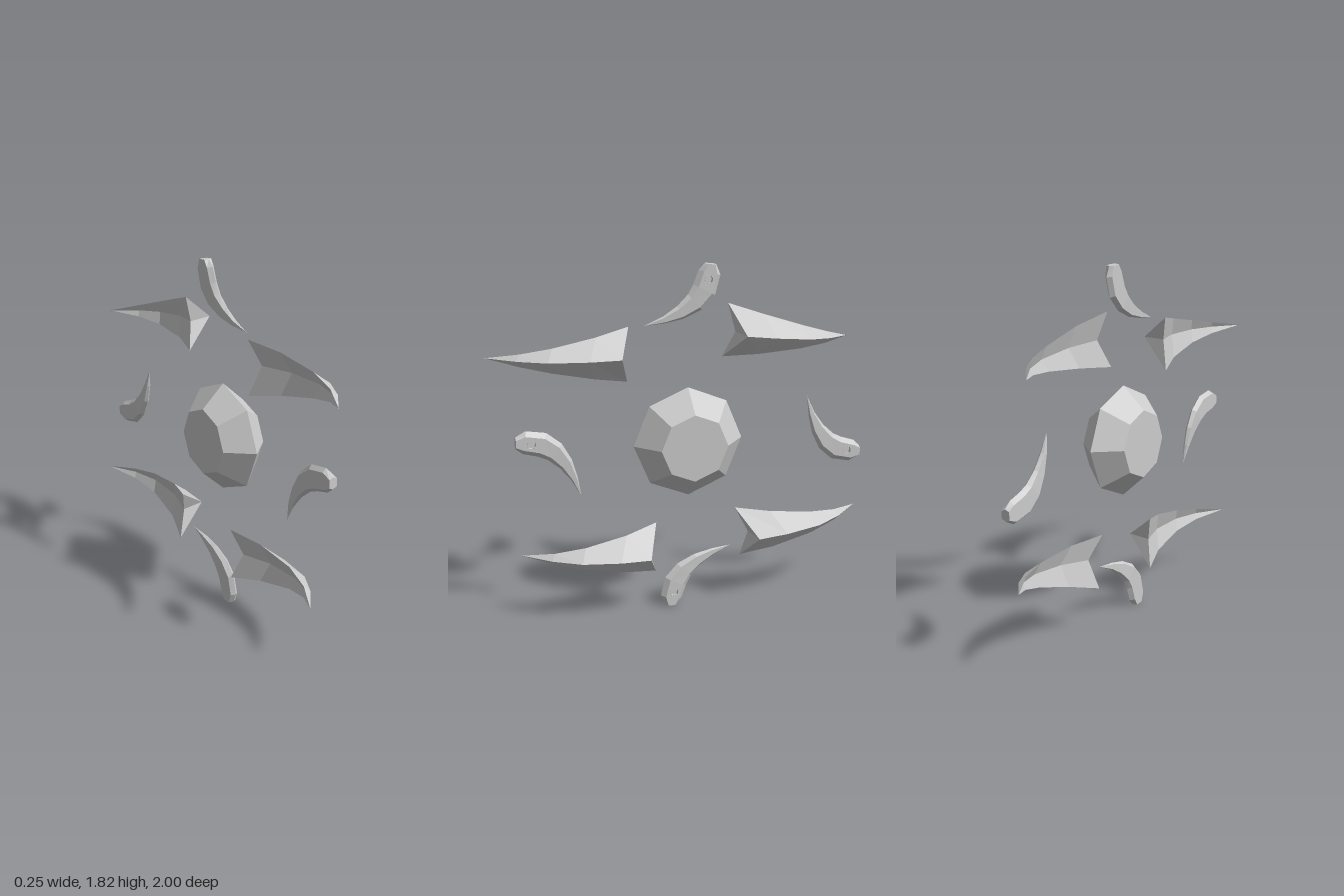
import * as THREE from 'three';

const material = new THREE.MeshStandardMaterial({ color: 0xcccccc, flatShading: true });
const openMaterial = material.clone();
openMaterial.side = THREE.DoubleSide;

// Skin a list of rings (counterclockwise about the direction of travel).
// The start is capped by a fan from ring point `fan`; skip(s, i) leaves a quad open.
function loft(rings, fan = 0, skip = () => false) {
  const pos = [];
  const tri = (a, b, c) => {
    const area = b.clone().sub(a).cross(c.clone().sub(a)).length();
    if (area > 1e-9) pos.push(...a.toArray(), ...b.toArray(), ...c.toArray());
  };
  const n = rings[0].length;
  for (let s = 0; s < rings.length - 1; s++) {
    for (let i = 0; i < n; i++) {
      if (skip(s, i)) continue;
      const j = (i + 1) % n;
      const [a, b] = [rings[s], rings[s + 1]];
      tri(a[i], a[j], b[j]);
      tri(a[i], b[j], b[i]);
    }
  }
  for (let k = 1; k < n - 1; k++) {
    tri(rings[0][fan], rings[0][(fan + k + 1) % n], rings[0][(fan + k) % n]);
  }
  const g = new THREE.BufferGeometry();
  g.setAttribute('position', new THREE.Float32BufferAttribute(pos, 3));
  g.computeVertexNormals();
  return g;
}

function addMesh(parent, name, geometry, mat = material) {
  const mesh = new THREE.Mesh(geometry, mat);
  mesh.name = name;
  parent.add(mesh);
  return mesh;
}

// Curved barbed spike: [u, v] of the tip, upper barb, ridge end and lower barb
function spikeGeometry({ tip, up, ridge, low }) {
  const stations = [0, 0.25, 0.56, 0.78, 1];
  const ridgeDepth = [0.112, 0.112, 0.08, 0.005, -0.11];
  const barbDepth = [-0.065, -0.005, 0.01, -0.025, -0.11];
  const back = Math.sign(ridge[0] - tip[0]);
  const hollow = [ridge[0] + back * 0.02, ridge[1]];
  const rings = stations.map((t, k) => {
    const at = (p, d) => new THREE.Vector3(
      THREE.MathUtils.lerp(p[0], tip[0], t), THREE.MathUtils.lerp(p[1], tip[1], t), d);
    const ring = [
      at(up, barbDepth[k]),
      at(ridge, ridgeDepth[k]),
      at(low, barbDepth[k]),
      at(hollow, barbDepth[k] + 0.045 * (1 - t)),
    ];
    return back > 0 ? ring.reverse() : ring;
  });
  return loft(rings, back > 0 ? 2 : 1);
}

// Claw with a pierced head at the local origin, tapering along a curve
function makeClaw() {
  const claw = new THREE.Group();
  const top = 0.003;
  const holeRadius = 0.022;
  // u, v, half width, depth of the flat top
  const path = [
    [0.016, 0.075, 0.03, top],
    [0.011, 0.032, 0.059, top],
    [-0.016, -0.053, 0.064, top],
    [-0.064, -0.112, 0.054, 0],
    [-0.139, -0.16, 0.037, -0.004],
    [-0.225, -0.193, 0.018, -0.01],
    [-0.326, -0.217, 0, -0.02],
  ];
  const rings = path.map(([u, v, w, d], k) => {
    const prev = path[Math.max(k - 1, 0)];
    const next = path[Math.min(k + 1, path.length - 1)];
    const dir = new THREE.Vector2(next[0] - prev[0], next[1] - prev[1]).normalize();
    const at = (side, depth) =>
      new THREE.Vector3(u - dir.y * w * side, v + dir.x * w * side, depth);
    const under = w > 0 ? -0.042 + (k > 3 ? 0.005 * (k - 3) : 0) : -0.02;
    return [at(1, -0.02), at(0.6, d), at(-0.6, d), at(-1, -0.02), at(-0.7, under), at(0.7, under)];
  });
  addMesh(claw, 'clawBody', loft(rings, 0, (s, i) => s < 2 && i === 1));

  // Flat head face with the eyelet cut into it
  const outline = [0, 1, 2].map((k) => rings[k][1])
    .concat([2, 1, 0].map((k) => rings[k][2]));
  const face = new THREE.Shape(outline.map((p) => new THREE.Vector2(p.x, p.y)));
  face.holes.push(new THREE.Path().absarc(0, 0, holeRadius, 0, Math.PI * 2, true));
  addMesh(claw, 'clawHeadFace', new THREE.ShapeGeometry(face, 8).translate(0, 0, top));

  const pit = new THREE.LatheGeometry([
    new THREE.Vector2(0, -0.018),
    new THREE.Vector2(holeRadius, -0.018),
    new THREE.Vector2(holeRadius, 0),
  ], 8);
  addMesh(claw, 'clawEyelet', pit.rotateX(Math.PI / 2).translate(0, 0, top), openMaterial);
  return claw;
}

export function createModel() {
  const model = new THREE.Group();
  model.name = 'gemWithSpikesAndClaws';

  // Parts are laid out in a u, v plane (depth = local z) that faces +x
  const layout = new THREE.Group();
  layout.name = 'layout';
  layout.rotation.y = Math.PI / 2;
  model.add(layout);

  // Eight-sided central gem
  const profile = [[0, -0.125], [0.175, -0.125], [0.288, 0], [0.175, 0.125], [0, 0.125]]
    .map(([r, h]) => new THREE.Vector2(r, h));
  const gem = addMesh(layout, 'gem', new THREE.LatheGeometry(profile, 8).rotateX(Math.PI / 2));
  gem.position.y = 0.916;

  // Four spikes pointing outward
  const spikes = {
    upperFrontSpike: { tip: [-1, 1.4], up: [-0.29, 1.52], ridge: [-0.365, 1.395], low: [-0.3, 1.24] },
    upperRearSpike: { tip: [0.91, 1.39], up: [0.23, 1.61], ridge: [0.275, 1.47], low: [0.2, 1.335] },
    lowerFrontSpike: { tip: [-0.86, 0.345], up: [-0.155, 0.465], ridge: [-0.23, 0.33], low: [-0.16, 0.19] },
    lowerRearSpike: { tip: [0.995, 0.425], up: [0.28, 0.5], ridge: [0.36, 0.375], low: [0.31, 0.225] },
  };
  for (const [name, corners] of Object.entries(spikes)) {
    addMesh(layout, name, spikeGeometry(corners));
  }

  // Four claws circling the gem: u, v, turn in degrees
  const claws = {
    topClaw: [0.105, 1.745, 0],
    frontClaw: [-0.805, 0.975, 95.4],
    bottomClaw: [-0.078, 0.083, 181.6],
    rearClaw: [0.89, 0.785, -87.3],
  };
  for (const [name, [u, v, turn]] of Object.entries(claws)) {
    const claw = makeClaw();
    claw.name = name;
    claw.position.set(u, v, 0);
    claw.rotation.z = THREE.MathUtils.degToRad(turn);
    layout.add(claw);
  }
  return model;
}
